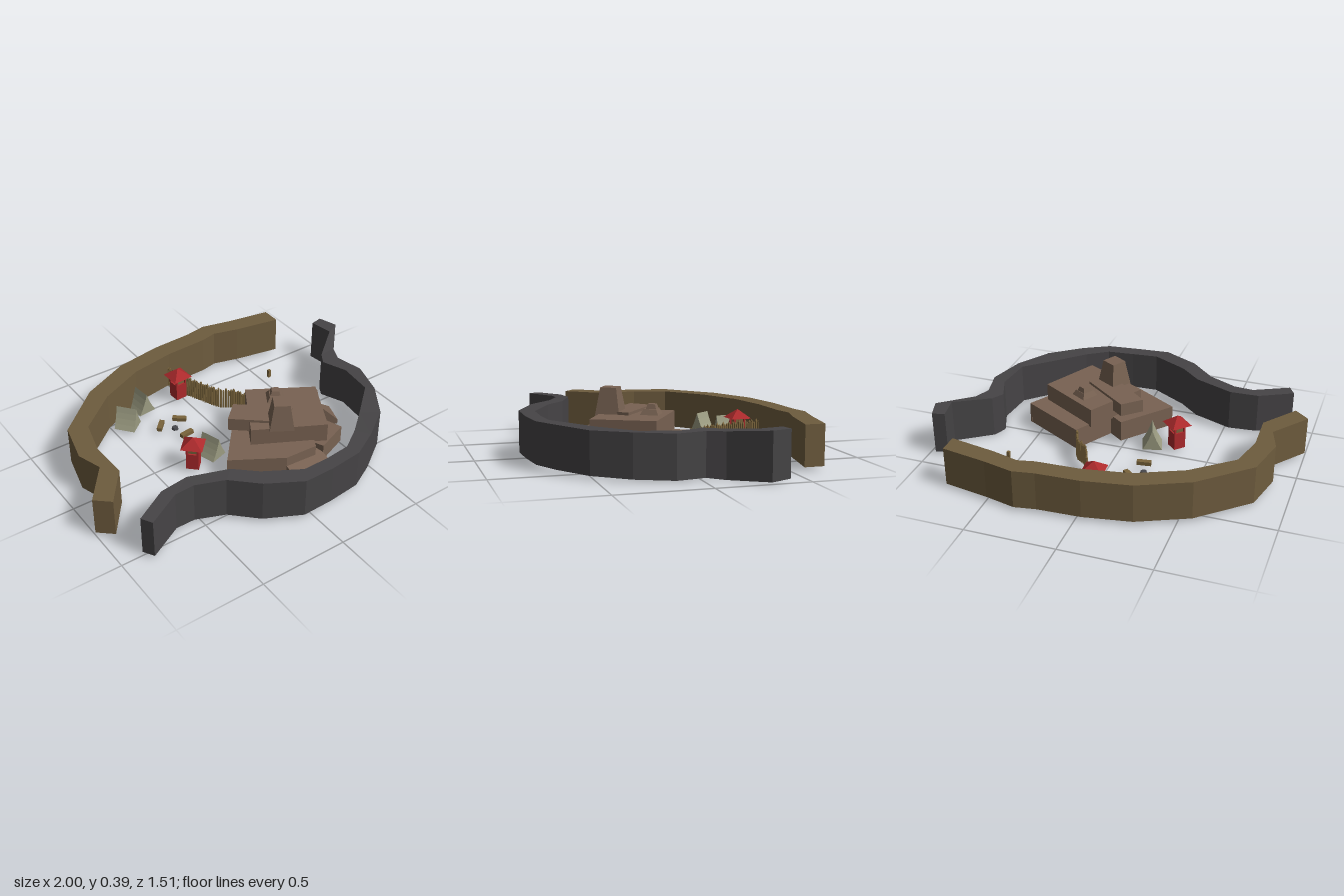
import * as THREE from 'three';

const paint = (color, side = THREE.FrontSide) =>
  new THREE.MeshStandardMaterial({ color, flatShading: true, side });
const MAT = {
  earth: paint(0x6e5c3e), rock: paint(0x464446), house: paint(0x786252),
  red: paint(0xac2a2c), canvas: paint(0x9c9c82, THREE.DoubleSide),
  wood: paint(0x7a643c), ash: paint(0x48484c),
};

function add(parent, name, geometry, material, x = 0, y = 0, z = 0, ry = 0) {
  const mesh = new THREE.Mesh(geometry, material);
  mesh.name = name;
  mesh.position.set(x, y, z);
  mesh.rotation.y = ry;
  parent.add(mesh);
  return mesh;
}

// Upright prism over a plan outline of [x, z] points
function prism(points, y0, y1) {
  const shape = new THREE.Shape(points.map(([x, z]) => new THREE.Vector2(x, -z)));
  const g = new THREE.ExtrudeGeometry(shape, { depth: y1 - y0, bevelEnabled: false });
  return g.rotateX(-Math.PI / 2).translate(0, y0, 0);
}

// Square frustum, given side lengths at base and top, standing on y = 0
function frustum(base, top, height) {
  const g = new THREE.CylinderGeometry(top / Math.SQRT2, base / Math.SQRT2, height, 4);
  return g.rotateY(Math.PI / 4).translate(0, height / 2, 0);
}

// Winding wall from sections [outerX, outerZ, innerX, innerZ, bottom, top]
function wall(sections) {
  const pos = [], index = [], n = sections.length;
  for (const [ox, oz, ix, iz, b, t] of sections)
    pos.push(ox, b, oz, ox, t, oz, ix, t, iz, ix, b, iz);
  for (let i = 0; i < n - 1; i++) {
    for (let k = 0; k < 4; k++) {
      const a = i * 4 + k, b = i * 4 + (k + 1) % 4;
      index.push(a, a + 4, b + 4, a, b + 4, b);
    }
  }
  const e = (n - 1) * 4;
  index.push(0, 1, 2, 0, 2, 3, e, e + 2, e + 1, e, e + 3, e + 2);
  let g = new THREE.BufferGeometry();
  g.setAttribute('position', new THREE.Float32BufferAttribute(pos, 3));
  g.setIndex(index);
  g = g.toNonIndexed();
  g.computeVertexNormals();
  return g;
}

function makeTower(x, z, ry) {
  const g = new THREE.Group();
  g.name = 'watchtower';
  g.position.set(x, 0.02, z);
  g.rotation.y = ry;
  add(g, 'towerBody', new THREE.BoxGeometry(0.07, 0.1, 0.07), MAT.red, 0, 0.05, 0);
  add(g, 'towerCabin', new THREE.BoxGeometry(0.05, 0.05, 0.05), MAT.wood, 0, 0.122, 0);
  for (const sx of [-1, 1]) for (const sz of [-1, 1])
    add(g, 'towerPost', new THREE.BoxGeometry(0.01, 0.05, 0.01), MAT.red, sx * 0.03, 0.122, sz * 0.03);
  add(g, 'towerRoof', frustum(0.12, 0.002, 0.05), MAT.red, 0, 0.145, 0);
  return g;
}

function makeTent(x, z, ry) {
  // Canvas sags inward between ridge and ground
  const s = new THREE.Shape();
  s.moveTo(-0.055, 0);
  s.lineTo(0.055, 0);
  s.quadraticCurveTo(0.02, 0.055, 0, 0.125);
  s.quadraticCurveTo(-0.02, 0.055, -0.055, 0);
  const g = new THREE.ExtrudeGeometry(s, { depth: 0.12, bevelEnabled: false, curveSegments: 4 });
  const mesh = new THREE.Mesh(g.translate(0, 0, -0.06), MAT.canvas);
  mesh.name = 'tent';
  mesh.position.set(x, 0.02, z);
  mesh.rotation.y = ry;
  return mesh;
}

function makeHouse() {
  const g = new THREE.Group();
  g.name = 'house';
  const H = MAT.house, turn = -0.54;
  // Lower tier
  add(g, 'lowerTierBack', prism([[0.22, -0.14], [0.58, 0.06], [0.45, 0.28], [0.09, 0.08]], 0.03, 0.15), H);
  add(g, 'lowerTierLeft', prism([[-0.215, 0.285], [0.01, 0.02], [0.35, 0.27], [0.25, 0.46], [0.06, 0.45]], 0.03, 0.15), H);
  add(g, 'lowerTierFront', prism([[0.49, 0.39], [0.3, 0.465], [0.2, 0.25], [0.41, 0.17]], 0.03, 0.13), H);
  // Upper tier and roof slab
  add(g, 'upperTier', prism([[0.155, -0.07], [0.5, 0.136], [0.337, 0.447], [-0.035, 0.25]], 0.14, 0.25), H);
  add(g, 'roofSlab', prism([[-0.09, 0.112], [0.01, 0.02], [0.27, 0.22], [0.17, 0.33]], 0.19, 0.265), H);
  // Sloping ramps at the front and side
  const ramp = (name, pts) => {
    const geo = prism(pts, 0.03, 0.06), p = geo.attributes.position;
    for (let i = 0; i < p.count; i++) {
      const near = Math.hypot(p.getX(i) - 0.22, p.getZ(i) - 0.2) < 0.34;
      if (near && p.getY(i) > 0.04) p.setY(i, 0.14);
    }
    geo.computeVertexNormals();
    add(g, name, geo, H);
  };
  ramp('frontRamp', [[0.06, 0.3], [0.3, 0.3], [0.3, 0.545], [0.06, 0.545]]);
  ramp('sideRamp', [[0.5, 0.21], [0.57, 0.05], [0.615, 0.135], [0.575, 0.26]]);
  // Chimneys
  add(g, 'tallChimney', frustum(0.135, 0.088, 0.15), H, 0.14, 0.24, 0.285, turn);
  add(g, 'smallChimneyBase', frustum(0.1, 0.07, 0.03), H, 0.25, 0.25, 0.09, turn);
  add(g, 'smallChimney', frustum(0.075, 0.04, 0.055), H, 0.25, 0.25, 0.085, turn);
  return g;
}

function makeFence() {
  const g = new THREE.Group();
  g.name = 'fence';
  const path = new THREE.CatmullRomCurve3(
    [[-0.01, -0.63], [0.02, -0.5], [0.06, -0.4], [0.12, -0.27], [0.18, -0.22], [0.22, -0.12]]
      .map(([x, z]) => new THREE.Vector3(x, 0, z)));
  const count = 38;
  for (let i = 0; i <= count; i++) {
    const p = path.getPointAt(i / count), h = 0.12 + 0.008 * Math.sin(i * 2.3);
    add(g, 'stake', new THREE.CylinderGeometry(0.007, 0.007, h, 5), MAT.wood, p.x, 0.02 + h / 2, p.z);
    add(g, 'stakeTip', new THREE.ConeGeometry(0.007, 0.012, 5), MAT.wood, p.x, 0.026 + h, p.z);
  }
  return g;
}

function makeCampfire() {
  const g = new THREE.Group();
  g.name = 'campfire';
  g.position.set(-0.21, 0.02, -0.245);
  add(g, 'firePit', new THREE.CylinderGeometry(0.016, 0.02, 0.014, 8), MAT.ash, 0, 0.007, 0);
  for (const [x, z, ry] of [[-0.06, -0.06, 0.8], [0.065, -0.055, -0.7], [0.025, 0.085, 0.13]])
    add(g, 'bench', new THREE.BoxGeometry(0.08, 0.022, 0.028), MAT.wood, x, 0.011, z, ry);
  return g;
}

export function createModel() {
  const model = new THREE.Group();
  // Earth bank behind, listed so that the outer side comes first
  const bank = [
    [-1, 0.24, -0.92, 0.31], [-0.845, 0.04, -0.775, 0.12], [-0.89, -0.1, -0.78, -0.1],
    [-0.835, -0.33, -0.73, -0.29], [-0.57, -0.565, -0.51, -0.47], [-0.295, -0.69, -0.255, -0.585],
    [-0.03, -0.735, 0, -0.63], [0.21, -0.745, 0.25, -0.64], [0.33, -0.765, 0.345, -0.66],
    [0.5, -0.725, 0.49, -0.62], [0.755, -0.68, 0.755, -0.57],
  ].map((s) => [...s, 0.02, 0.24]).reverse();
  add(model, 'earthWall', wall(bank), MAT.earth);
  // Rock wall in front
  const rock = [
    [-0.84, 0.555, -0.875, 0.495, 0.02, 0.245], [-0.645, 0.45, -0.69, 0.39, 0.02, 0.25],
    [-0.535, 0.45, -0.53, 0.375, 0.02, 0.255], [-0.38, 0.515, -0.315, 0.455, 0.022, 0.26],
    [-0.245, 0.645, -0.2, 0.56, 0.02, 0.26], [-0.05, 0.75, 0, 0.67, 0.025, 0.255],
    [0.13, 0.745, 0.15, 0.665, 0.025, 0.25], [0.32, 0.725, 0.3, 0.65, 0.025, 0.25],
    [0.47, 0.645, 0.42, 0.57, 0.022, 0.25], [0.65, 0.52, 0.55, 0.46, 0.02, 0.245],
    [0.77, 0.335, 0.73, 0.3, 0.015, 0.245], [0.835, 0.135, 0.755, 0.1, 0.01, 0.24],
    [0.8, -0.025, 0.7, -0.04, 0.008, 0.24], [0.84, -0.115, 0.74, -0.105, 0, 0.24],
    [1, -0.29, 0.92, -0.25, 0.01, 0.26], [0.965, -0.4, 0.895, -0.385, 0.015, 0.26],
  ];
  add(model, 'rockWall', wall(rock), MAT.rock);

  model.add(makeHouse(), makeFence(), makeCampfire());
  model.add(makeTower(-0.3, 0.085, 0.8), makeTower(-0.02, -0.505, 0.05));
  model.add(makeTent(-0.415, -0.43, 0.68), makeTent(-0.265, -0.525, 0.1), makeTent(-0.165, 0.055, 0.3));
  add(model, 'lonePost', new THREE.BoxGeometry(0.016, 0.05, 0.016), MAT.wood, 0.54, 0.045, -0.35);
  return model;
}
